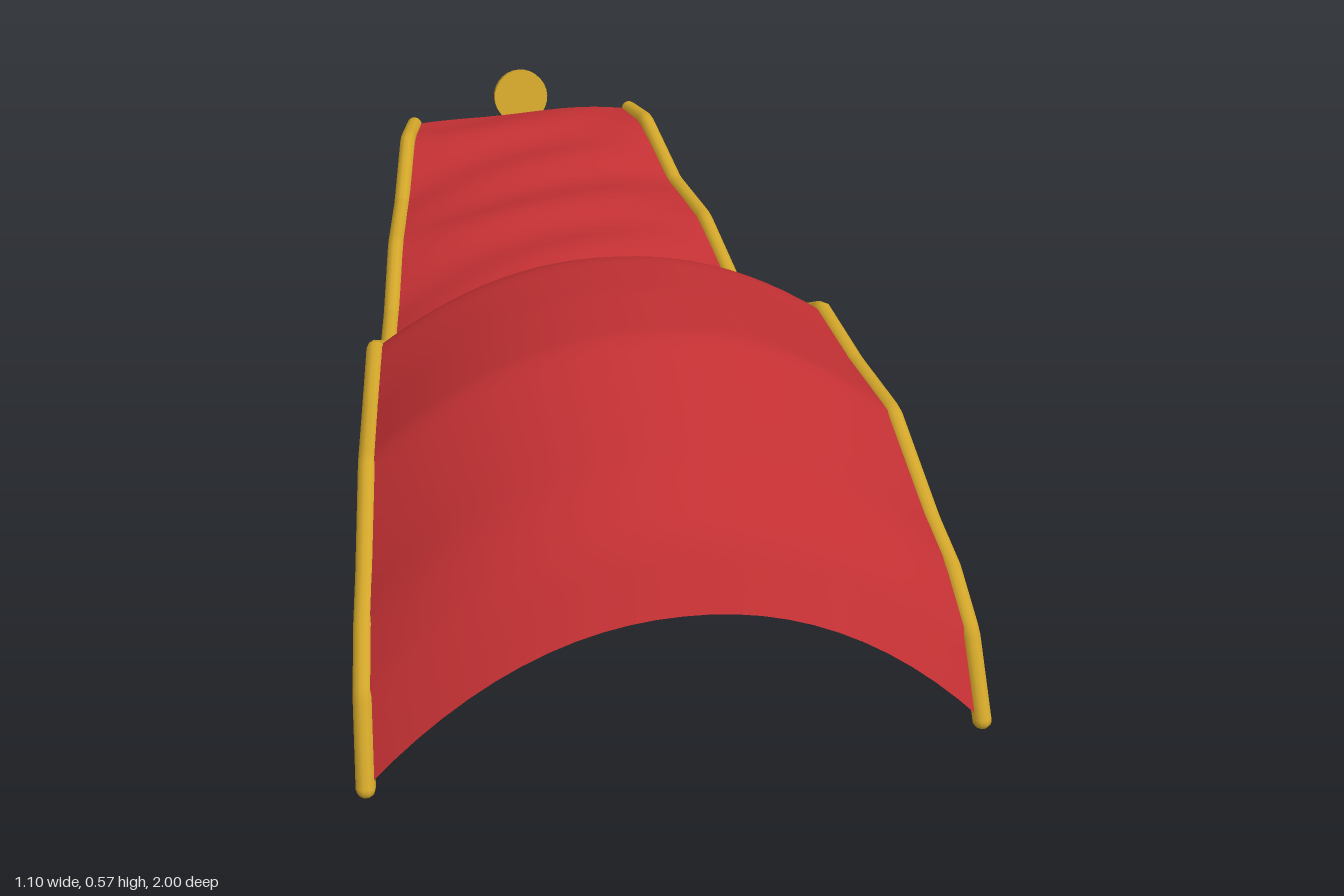
import * as THREE from 'three';

// Stations along the cape: z, hem height, centre height, half width
const STATIONS = [
  [0.985, 0.02, 0.32, 0.533], [0.905, 0.15, 0.425, 0.525], [0.81, 0.22, 0.485, 0.513],
  [0.715, 0.255, 0.515, 0.5], [0.527, 0.355, 0.572, 0.475], [0.345, 0.345, 0.55, 0.453],
  [0.17, 0.357, 0.515, 0.43], [0.08, 0.295, 0.46, 0.42], [-0.01, 0.237, 0.37, 0.408],
  [-0.11, 0.128, 0.235, 0.393], [-0.297, 0.128, 0.23, 0.366], [-0.484, 0.188, 0.238, 0.337],
  [-0.666, 0.18, 0.235, 0.307], [-0.85, 0.242, 0.245, 0.273], [-0.945, 0.224, 0.238, 0.25],
];

// Interpolates one column of the stations at a given z
function sample(z, column) {
  for (let i = 0; i < STATIONS.length - 1; i++) {
    const a = STATIONS[i], b = STATIONS[i + 1];
    if (z >= b[0]) return THREE.MathUtils.lerp(a[column], b[column], (z - a[0]) / (b[0] - a[0]));
  }
  return STATIONS[STATIONS.length - 1][column];
}

// Height of the arched cloth, with soft ripples in the trailing half
function clothHeight(u, z) {
  const hem = sample(z, 1), centre = sample(z, 2);
  const arch = 1 - Math.pow(Math.abs(u), 2.1);
  const calm = THREE.MathUtils.smoothstep(-z, 0, 0.3);
  const ripple = 0.007 * arch * calm * Math.sin(z * 34 + u * 2.5);
  return hem + (centre - hem) * arch + ripple;
}

export function createModel() {
  const group = new THREE.Group();
  group.name = 'cape';
  const red = new THREE.MeshStandardMaterial({ color: 0xc23033, side: THREE.DoubleSide });
  red.name = 'red cloth';
  const gold = new THREE.MeshStandardMaterial({ color: 0xd2a62a });
  gold.name = 'gold trim';

  // Cloth sheet
  const sheet = new THREE.PlaneGeometry(2, 1.93, 24, 72);
  const p = sheet.attributes.position;
  for (let i = 0; i < p.count; i++) {
    const u = p.getX(i), z = 0.02 - p.getY(i);
    p.setXYZ(i, u * sample(z, 3), clothHeight(u, z), z);
  }
  sheet.computeVertexNormals();
  const cloth = new THREE.Mesh(sheet, red);
  cloth.name = 'cloth';
  group.add(cloth);

  // Gold piping with rounded ends along both hems
  for (const [side, name] of [[1, 'leftTrim'], [-1, 'rightTrim']]) {
    const trim = new THREE.Group();
    trim.name = name;
    const points = STATIONS.map(([z, y, , w]) => new THREE.Vector3(side * w, y, z));
    const path = new THREE.CatmullRomCurve3(points, false, 'catmullrom', 0);
    const piping = new THREE.Mesh(new THREE.TubeGeometry(path, 120, 0.017, 10), gold);
    piping.name = 'piping';
    trim.add(piping);
    for (const end of [points[0], points[points.length - 1]]) {
      const cap = new THREE.Mesh(new THREE.SphereGeometry(0.017, 10, 8), gold);
      cap.name = 'pipingEnd';
      cap.position.copy(end);
      trim.add(cap);
    }
    group.add(trim);
  }

  // Round clasp at the collar
  const clasp = new THREE.Mesh(new THREE.CylinderGeometry(0.061, 0.061, 0.02, 28), gold);
  clasp.name = 'clasp';
  clasp.rotation.x = Math.PI / 2 - 0.34;
  clasp.position.set(0, 0.264, -0.969);
  group.add(clasp);

  return group;
}
